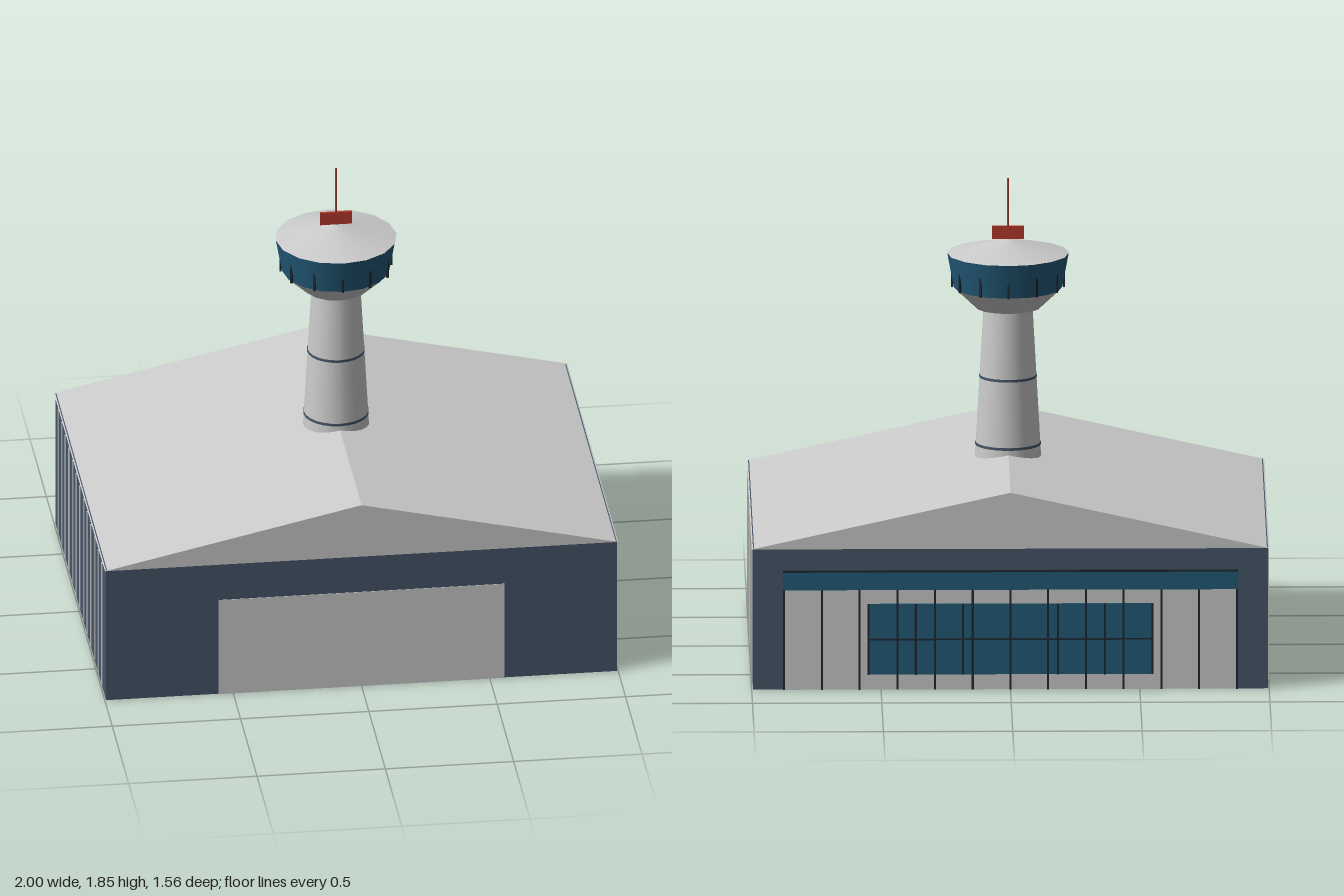
import * as THREE from 'three';

const mat = (color) => new THREE.MeshStandardMaterial({ color });

export function createModel() {
  const model = new THREE.Group();
  const grey = mat(0xcccccc);
  const navy = mat(0x46566a);
  const teal = mat(0x235a78);
  const dark = mat(0x1d2730);
  const red = mat(0xb83a2c);

  const add = (name, geometry, material, parent = model) => {
    const mesh = new THREE.Mesh(geometry, material);
    mesh.name = name;
    parent.add(mesh);
    return mesh;
  };
  // Box given by its lower and upper limits on each axis
  const box = (name, material, [x0, x1], [y0, y1], [z0, z1], parent) => {
    const mesh = add(name, new THREE.BoxGeometry(x1 - x0, y1 - y0, z1 - z0), material, parent);
    mesh.position.set((x0 + x1) / 2, (y0 + y1) / 2, (z0 + z1) / 2);
    return mesh;
  };
  const group = (name) => {
    const g = new THREE.Group();
    g.name = name;
    model.add(g);
    return g;
  };

  // Hall with a gabled roof
  box('hallWalls', navy, [-0.995, 0.995], [0, 0.56], [-0.766, 0.776]);
  const gable = new THREE.Shape([
    new THREE.Vector2(-1, 0.558), new THREE.Vector2(1, 0.558), new THREE.Vector2(0, 0.78),
  ]);
  const roof = add('roof', new THREE.ExtrudeGeometry(gable, { depth: 1.555, bevelEnabled: false }), grey);
  roof.position.z = -0.777;

  // Large front door bay, reaching into the hall
  box('frontDoorBay', grey, [-0.557, 0.557], [-0.001, 0.405], [0.1, 0.778]);

  // Ribs on both side walls
  const ribs = group('sideRibs');
  for (const side of [-1, 1]) {
    for (let i = -6; i <= 6; i++) {
      const z = i * 0.111;
      box('sideRib', grey, [side * 0.996 - 0.004, side * 0.996 + 0.004], [0.01, 0.54], [z - 0.004, z + 0.004], ribs);
    }
  }

  // Back facade: panel, seams, window with bars, and a canopy band
  const facade = group('backFacade');
  box('facadePanel', grey, [-0.875, 0.875], [0, 0.4], [-0.77, -0.75], facade);
  for (let i = -6; i <= 6; i++) {
    const x = i * 0.1458;
    box('facadeSeam', dark, [x - 0.004, x + 0.004], [0, 0.4], [-0.774, -0.76], facade);
  }
  box('facadeWindow', teal, [-0.55, 0.55], [0.06, 0.34], [-0.773, -0.755], facade);
  for (let i = -3; i <= 3; i++) {
    const x = i * 0.183;
    box('windowBar', dark, [x - 0.004, x + 0.004], [0.06, 0.34], [-0.78, -0.76], facade);
  }
  box('windowCrossBar', dark, [-0.55, 0.55], [0.197, 0.203], [-0.78, -0.76], facade);
  box('facadeBand', teal, [-0.88, 0.88], [0.395, 0.465], [-0.775, -0.75], facade);
  box('bandTrim', dark, [-0.88, 0.88], [0.465, 0.472], [-0.776, -0.75], facade);

  // Tower shaft with two rings
  const tower = group('tower');
  const frustum = (name, material, rTop, rBottom, y0, y1, sides) => {
    const mesh = add(name, new THREE.CylinderGeometry(rTop, rBottom, y1 - y0, sides), material, tower);
    mesh.position.y = (y0 + y1) / 2;
    return mesh;
  };
  const shaftRadius = (y) => 0.128 - (y - 0.75) * 0.056;
  frustum('towerShaft', grey, shaftRadius(1.36), shaftRadius(0.65), 0.65, 1.36, 24);
  for (const y of [0.803, 1.07]) {
    const r = shaftRadius(y) + 0.002;
    frustum('shaftRing', navy, r, r, y - 0.005, y + 0.005, 24);
  }

  // Control cab
  frustum('cabBase', grey, 0.21, 0.125, 1.34, 1.42, 16);
  frustum('cabGlass', teal, 0.235, 0.21, 1.42, 1.555, 16);
  frustum('cabRoof', grey, 0.004, 0.236, 1.555, 1.61, 16);
  for (let i = 0; i < 12; i++) {
    const a = (i / 12) * Math.PI * 2;
    const bar = box('cabBar', dark, [-0.004, 0.004], [1.42, 1.54], [-0.004, 0.004], tower);
    bar.position.x = Math.sin(a) * 0.216;
    bar.position.z = Math.cos(a) * 0.216;
    bar.rotation.y = a;
  }

  // Mast and marker board
  frustum('mast', red, 0.004, 0.005, 1.6, 1.85, 8);
  box('markerBoard', red, [-0.062, 0.062], [1.61, 1.662], [-0.005, 0.005], tower);

  return model;
}
